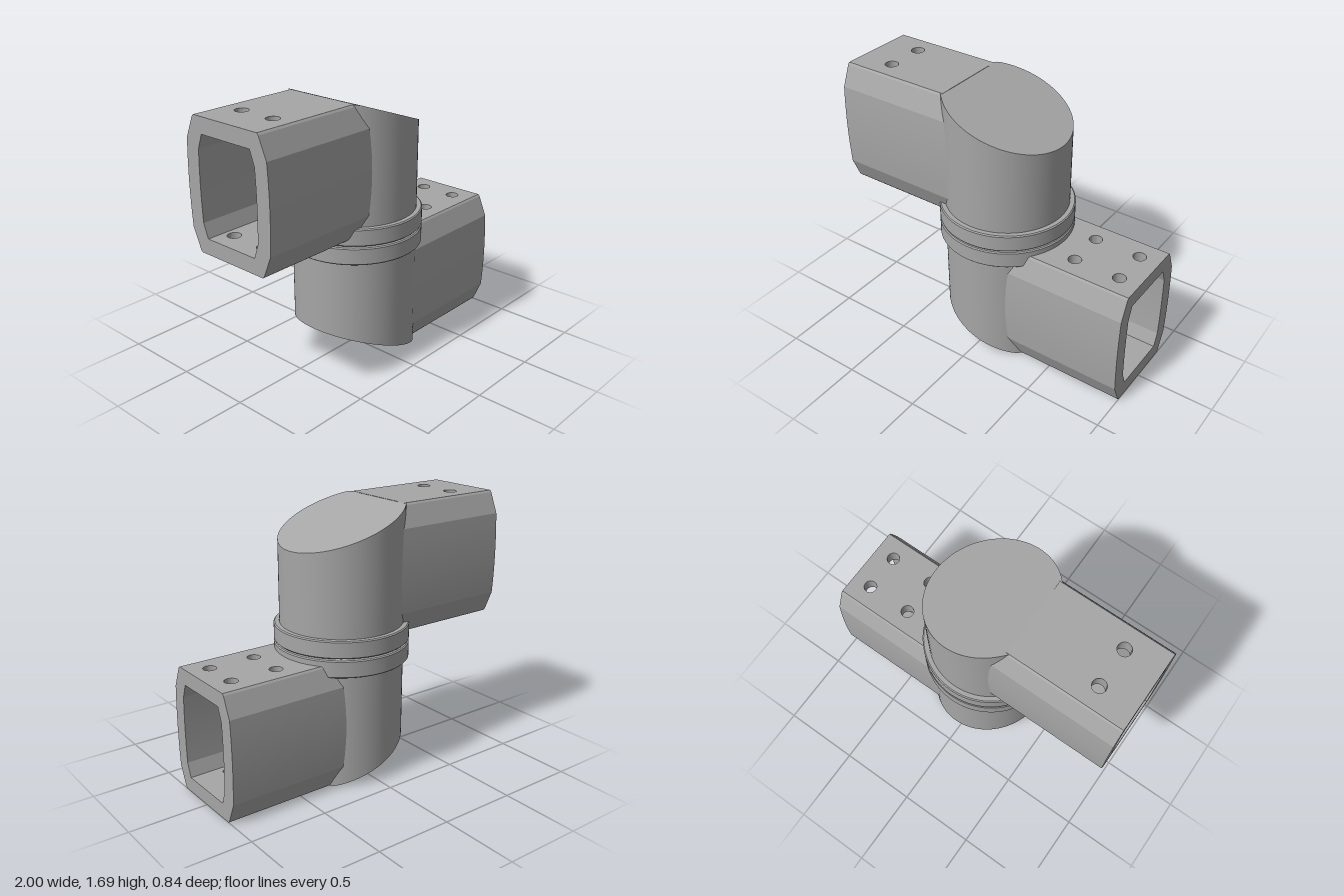
import * as THREE from 'three';
import { toCreasedNormals } from 'three/addons/utils/BufferGeometryUtils.js';

// One half of the swivel joint, with its origin on the joint plane and its arm along -x
const TOP = 0.847, BOTTOM = 0.045, MID = (TOP + BOTTOM) / 2, HALF = (TOP - BOTTOM) / 2;
const WALL = 0.098, INNER_Z = 0.19, SLOPE = Math.tan(Math.PI / 9);
const capY = x => 0.748 - SLOPE * x;
const V = (x, y) => new THREE.Vector2(x, y);

// Slightly bulged side curve running from the upper to the lower corner
function bulge(z, extra, h) {
  const pts = [];
  for (let i = 0; i <= 8; i++) {
    const t = 1 - i / 4;
    pts.push(V(z + extra * (1 - t * t), MID + h * t));
  }
  return pts;
}

const outerHalf = [
  V(0.25, TOP), V(0.261, TOP - 0.012),
  ...bulge(0.315, 0.01, 0.262),
  V(0.261, BOTTOM + 0.012), V(0.25, BOTTOM),
];
const innerHalf = [
  V(INNER_Z, TOP - WALL), ...bulge(0.222, 0.006, 0.215), V(INNER_Z, BOTTOM + WALL),
];

// Extrudes a (z, y) section along -x from the given start
function alongArm(points, start, depth) {
  const g = new THREE.ExtrudeGeometry(new THREE.Shape(points), { depth, bevelEnabled: false });
  return g.rotateY(-Math.PI / 2).translate(start, 0, 0);
}

// Side wall whose hidden end stays under the slanted cap
function sideWall(sign) {
  const pts = [V(INNER_Z, TOP), ...outerHalf, V(INNER_Z, BOTTOM), ...innerHalf.slice().reverse()];
  const g = alongArm(pts.map(p => V(p.x * sign, p.y)), -0.2, 0.8);
  const p = g.attributes.position;
  for (let i = 0; i < p.count; i++) {
    p.setX(i, Math.min(p.getX(i), (0.748 - p.getY(i)) / SLOPE - 0.005));
  }
  g.computeVertexNormals();
  return toCreasedNormals(g, 0.2);
}

// Flat plate with pairs of bolt holes at the given x positions
function plate(topY, holeXs) {
  const s = new THREE.Shape([V(-1, -INNER_Z), V(-0.278, -INNER_Z), V(-0.278, INNER_Z), V(-1, INNER_Z)]);
  for (const x of holeXs) for (const z of [-0.122, 0.122]) {
    const hole = new THREE.Path();
    hole.absarc(x, z, 0.041, 0, Math.PI * 2, true);
    s.holes.push(hole);
  }
  const g = new THREE.ExtrudeGeometry(s, { depth: WALL, bevelEnabled: false, curveSegments: 24 });
  return toCreasedNormals(g.rotateX(Math.PI / 2).translate(0, topY, 0), 0.6);
}

// Cylinder cut by a slanted plane that levels out where the arm begins
function slantedBarrel() {
  const g = new THREE.CylinderGeometry(0.386, 0.386, 0.8, 96);
  g.translate(0, 0.45, 0);
  const p = g.attributes.position, n = g.attributes.normal;
  for (let i = 0; i < p.count; i++) {
    if (p.getY(i) < 0.5) continue;
    if (Math.hypot(p.getX(i), p.getZ(i)) < 0.01) p.setX(i, -0.27);
    p.setY(i, Math.min(TOP - 0.002, capY(p.getX(i))));
    if (n.getY(i) > 0.9) n.setXYZ(i, Math.sin(Math.PI / 9), Math.cos(Math.PI / 9), 0);
  }
  return g;
}

// Ring flange with softened edges
function collar() {
  const g = new THREE.LatheGeometry([
    V(0, 0.005), V(0.414, 0.005), V(0.421, 0.012), V(0.421, 0.108), V(0.414, 0.115), V(0, 0.115),
  ], 96);
  return toCreasedNormals(g, 0.5);
}

export function createModel() {
  const model = new THREE.Group();
  model.name = 'swivelTubeJoint';
  const metal = new THREE.MeshStandardMaterial({ color: 0xa6a6a6 });
  metal.name = 'plain grey';

  const add = (parent, name, geometry) => {
    const mesh = new THREE.Mesh(geometry, metal);
    mesh.name = name;
    parent.add(mesh);
  };

  const half = name => {
    const g = new THREE.Group();
    g.name = name;
    add(g, 'barrel', slantedBarrel());
    add(g, 'collar', collar());
    add(g, 'armLeftWall', sideWall(1));
    add(g, 'armRightWall', sideWall(-1));
    add(g, 'armOuterPlate', plate(TOP, [-0.77]));
    add(g, 'armInnerPlate', plate(BOTTOM + WALL, [-0.57, -0.87]));
    // Closes the socket at its deep end
    const plug = [...innerHalf, ...innerHalf.slice().reverse().map(p => V(-p.x, p.y))];
    add(g, 'socketFloor', alongArm(plug, -0.2, 0.22));
    g.position.y = 0.85;
    model.add(g);
    return g;
  };

  half('upperHalf');
  half('lowerHalf').rotation.z = Math.PI;

  // Pivot pin bridging the gap between the collars
  const pin = new THREE.CylinderGeometry(0.073, 0.073, 0.04, 32);
  add(model, 'pivotPin', pin.translate(0, 0.85, 0));
  return model;
}
